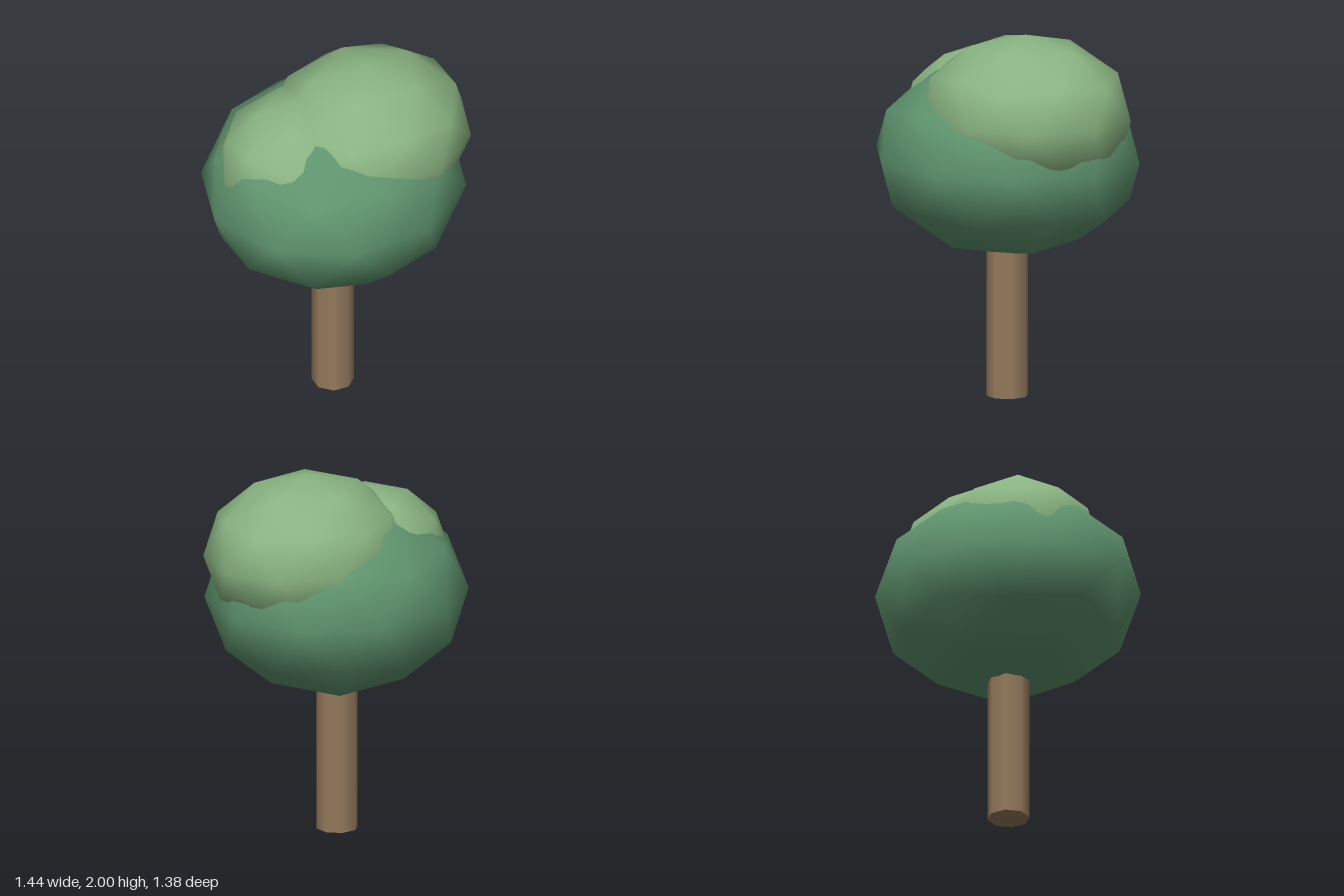
import * as THREE from 'three';

const material = (name, color) => {
  const m = new THREE.MeshStandardMaterial({ color });
  m.name = name;
  return m;
};

export function createModel() {
  const bark = material('bark brown', 0x957a5d);
  const darkLeaf = material('dark green', 0x5f946e);
  const lightLeaf = material('light green', 0x8ab482);

  const tree = new THREE.Group();
  tree.name = 'tree';

  const add = (name, geometry, mat, [x, y, z]) => {
    const mesh = new THREE.Mesh(geometry, mat);
    mesh.name = name;
    mesh.position.set(x, y, z);
    tree.add(mesh);
  };

  // Low-poly foliage ball: icosphere with one corner straight up, squashed per axis
  const tilt = Math.atan(2 / (1 + Math.sqrt(5)));
  const puff = (rx, ry, rz) =>
    new THREE.IcosahedronGeometry(1, 1).rotateZ(-tilt).scale(rx, ry, rz);

  // Trunk, its top hidden inside the crown
  add('trunk', new THREE.CylinderGeometry(0.113, 0.113, 1.1, 8), bark, [-0.02, 0.55, 0]);

  // Crown and the two lighter clumps on top of it
  add('crown', puff(0.74, 0.54, 0.69), darkLeaf, [-0.015, 1.31, 0]);
  add('largeClump', puff(0.59, 0.43, 0.535), lightLeaf, [0.16, 1.57, 0.08]);
  add('smallClump', puff(0.47, 0.37, 0.43), lightLeaf, [-0.19, 1.505, -0.08]);

  return tree;
}
